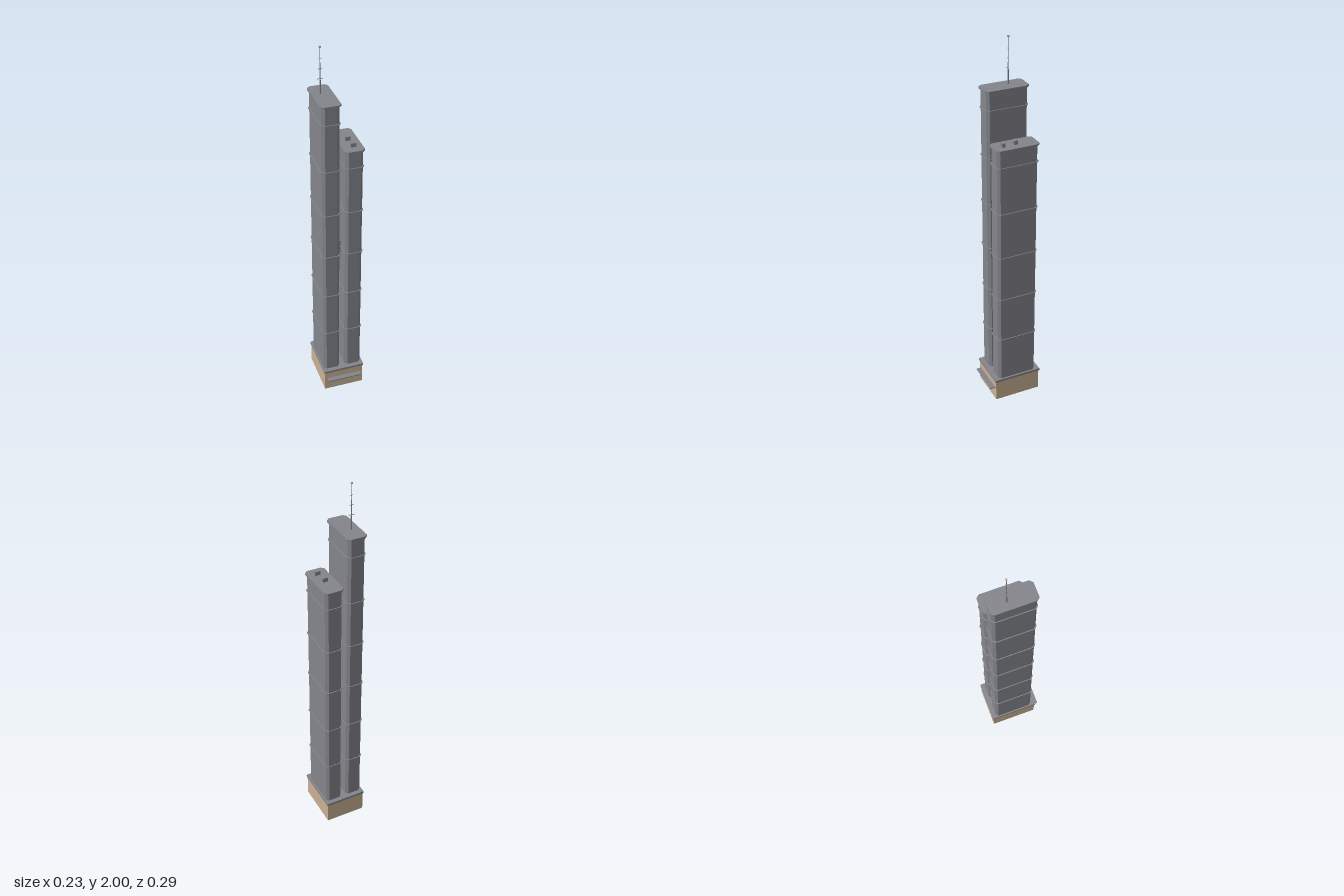
import * as THREE from 'three';

const grey = new THREE.MeshStandardMaterial({ color: 0x84858b });
grey.name = 'tower grey';
const tan = new THREE.MeshStandardMaterial({ color: 0xc9b193, side: THREE.DoubleSide });
tan.name = 'podium tan';

function add(parent, name, geometry, material, x = 0, y = 0, z = 0) {
  const mesh = new THREE.Mesh(geometry, material);
  mesh.name = name;
  mesh.position.set(x, y, z);
  parent.add(mesh);
  return mesh;
}

// Box given by its base height instead of its centre
function block(parent, name, w, h, d, x, y, z, material = grey) {
  return add(parent, name, new THREE.BoxGeometry(w, h, d), material, x, y + h / 2, z);
}

// Upright prism on a rectangle with cut corners, standing on y = 0
function cutPrism(w, d, h, cut) {
  const a = w / 2, b = d / 2;
  const shape = new THREE.Shape([
    [a - cut, -b], [a, -b + cut], [a, b - cut], [a - cut, b],
    [-a + cut, b], [-a, b - cut], [-a, -b + cut], [-a + cut, -b],
  ].map(([x, y]) => new THREE.Vector2(x, y)));
  return new THREE.ExtrudeGeometry(shape, { depth: h, bevelEnabled: false }).rotateX(-Math.PI / 2);
}

const BASE = 0.131, MID_Z = -0.0125;

// Shaft with evenly spaced ledges and an overhanging roof slab
function tower(name, x, top, ledges) {
  const group = new THREE.Group();
  group.name = name;
  group.position.set(x, 0, MID_Z);
  add(group, 'shaft', cutPrism(0.09, 0.218, top - BASE - 0.01, 0.014), grey, 0, BASE, 0);
  for (let i = 1; i <= ledges; i++) {
    add(group, 'ledge', cutPrism(0.099, 0.227, 0.006, 0.015), grey, 0, BASE + i * 0.254 - 0.002, 0);
  }
  add(group, 'roofSlab', cutPrism(0.104, 0.232, 0.01, 0.015), grey, 0, top - 0.01, 0);
  return group;
}

// Podium: four thin walls, open below, under a slab
function podium() {
  const group = new THREE.Group();
  group.name = 'podium';
  const w = 0.219, d = 0.258, h = 0.118;
  for (const s of [1, -1]) {
    const end = add(group, 'endWall', new THREE.PlaneGeometry(w, h), tan, 0, h / 2, MID_Z + s * d / 2);
    end.rotation.y = s > 0 ? 0 : Math.PI;
    const side = add(group, 'sideWall', new THREE.PlaneGeometry(d, h), tan, s * w / 2, h / 2, MID_Z);
    side.rotation.y = s * Math.PI / 2;
  }
  block(group, 'podiumSlab', 0.227, BASE - h, 0.266, 0, h, MID_Z);
  block(group, 'canopy', 0.191, 0.006, 0.027, 0, 0.071, 0.13);
  return group;
}

// Stepped mast with crossbars and a small lamp
function antenna() {
  const group = new THREE.Group();
  group.name = 'antenna';
  group.position.set(-0.0705, 0, -0.04);
  add(group, 'lowerMast', new THREE.CylinderGeometry(0.003, 0.004, 0.09, 8), grey, 0, 1.802, 0);
  add(group, 'upperMast', new THREE.CylinderGeometry(0.0015, 0.002, 0.15, 8), grey, 0, 1.918, 0);
  [[1.835, 0.03], [1.885, 0.02], [1.935, 0.014]].forEach(([y, w]) =>
    block(group, 'crossbar', w, 0.002, 0.002, 0, y, 0));
  block(group, 'lamp', 0.008, 0.008, 0.008, 0, 1.992, 0, tan);
  return group;
}

// Enclosed walkway joining the towers, with floor and roof plates
function bridge() {
  const group = new THREE.Group();
  group.name = 'skyBridge';
  block(group, 'walkway', 0.036, 0.06, 0.056, -0.001, 0.864, MID_Z);
  for (const y of [0.858, 0.922]) block(group, 'bridgePlate', 0.036, 0.007, 0.061, -0.001, y, MID_Z);
  return group;
}

export function createModel() {
  const model = new THREE.Group();
  model.name = 'twinTowers';
  model.add(podium(), tower('tallTower', -0.061, 1.759, 6), tower('shortTower', 0.059, 1.5, 5));
  model.add(bridge(), antenna());
  // Rooftop plant on the shorter tower
  block(model, 'roofUnit', 0.025, 0.021, 0.019, 0.0585, 1.5, -0.0175);
  block(model, 'roofUnit', 0.026, 0.021, 0.017, 0.064, 1.5, 0.0515);
  return model;
}
